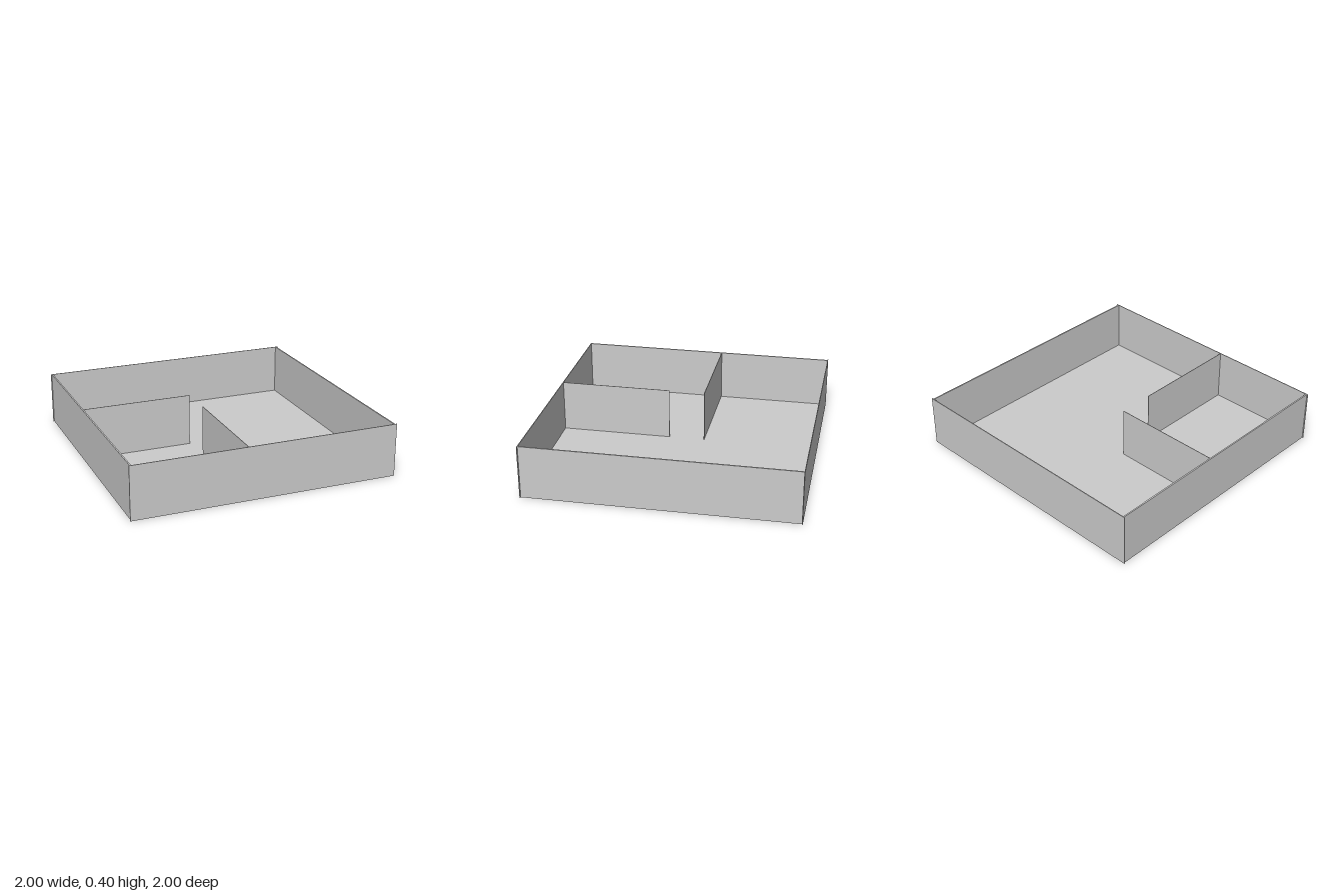
import * as THREE from 'three';

const HEIGHT = 0.4;
const THICK = 0.006;

export function createModel() {
  const group = new THREE.Group();
  const material = new THREE.MeshStandardMaterial({ color: 0xcccccc, flatShading: true });

  // Box given by its extents in x, y and z
  function slab(name, [x0, x1], [y0, y1], [z0, z1]) {
    const mesh = new THREE.Mesh(new THREE.BoxGeometry(x1 - x0, y1 - y0, z1 - z0), material);
    mesh.position.set((x0 + x1) / 2, (y0 + y1) / 2, (z0 + z1) / 2);
    mesh.name = name;
    group.add(mesh);
  }
  const full = [0, HEIGHT];

  // Floor slab between the outer walls
  slab('floor', [-0.985, 0.98], [0, THICK], [-1 + THICK, 1 - THICK]);

  // Front and back walls run slightly past the side walls
  slab('frontWall', [-1, 1], full, [1 - THICK, 1]);
  slab('backWall', [-1, 1], full, [-1, -1 + THICK]);
  slab('leftWall', [0.978, 0.988], full, [-1 + THICK, 1 - THICK]);
  slab('rightWall', [-0.993, -0.982], full, [-1 + THICK, 1 - THICK]);

  // Two partitions enclose a corner room with an open doorway between them
  slab('sidePartition', [-0.982, -0.15], full, [-0.123, -0.119]);
  slab('frontPartition', [-0.149, -0.145], full, [0.15, 1 - THICK]);

  return group;
}
